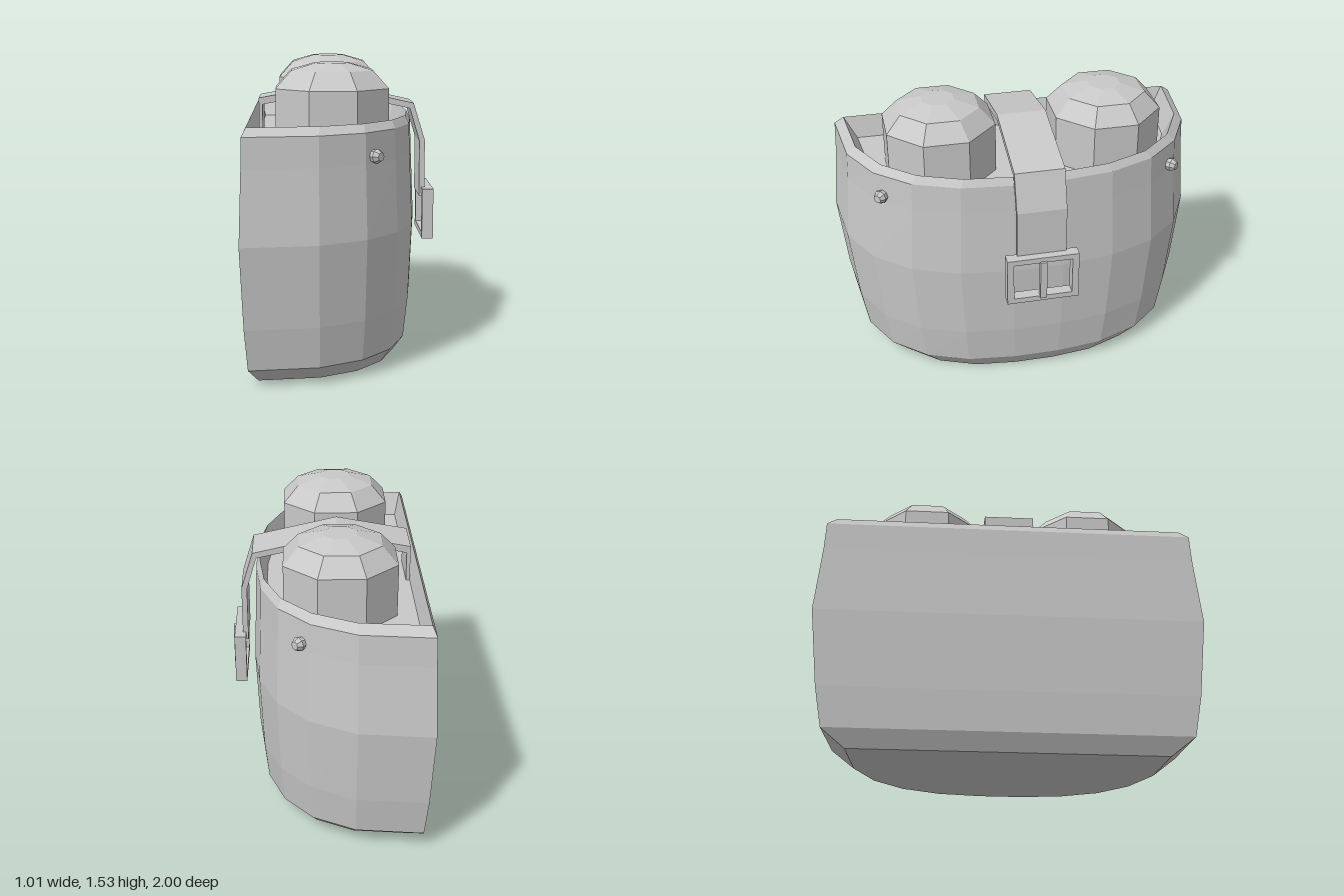
import * as THREE from 'three';

const grey = new THREE.MeshStandardMaterial({ color: 0xc8c8c8, flatShading: true });
grey.name = 'plain grey';

function add(parent, name, geometry, x = 0, y = 0, z = 0) {
  const mesh = new THREE.Mesh(geometry, grey);
  mesh.name = name;
  mesh.position.set(x, y, z);
  parent.add(mesh);
  return mesh;
}

// Half-round plan outline: x as a fraction from back to front, z as a fraction of half width
const half = [[0, 1], [0.42, 0.96], [0.68, 0.84], [0.86, 0.655], [0.965, 0.41], [1, 0.135]];
const outline = [...half, ...half.slice().reverse().map(([x, z]) => [x, -z])];

// Levels going up the outside, over the rim and down the inside: y, back x, front x, half width
const levels = [
  [0, -0.43, 0.29, 0.8],
  [0.09, -0.475, 0.345, 0.92],
  [0.3, -0.49, 0.367, 0.957],
  [0.71, -0.505, 0.385, 1],
  [1.07, -0.493, 0.37, 0.967],
  [1.22, -0.49, 0.365, 0.96],
  [1.26, -0.47, 0.345, 0.91],
  [1.14, -0.44, 0.31, 0.845],
];

function bodyGeometry() {
  const n = outline.length;
  const points = [];
  const index = [];
  for (const [y, back, front, width] of levels) {
    for (const [fx, fz] of outline) points.push(back + fx * (front - back), y, fz * width);
  }
  for (let l = 0; l < levels.length - 1; l++) {
    for (let i = 0; i < n; i++) {
      const a = l * n + i;
      const b = l * n + (i + 1) % n;
      index.push(a, b, b + n, a, b + n, a + n);
    }
  }
  // Underside and inner floor
  const top = (levels.length - 1) * n;
  for (let i = 1; i < n - 1; i++) {
    index.push(0, i + 1, i);
    index.push(top, top + i, top + i + 1);
  }
  const geometry = new THREE.BufferGeometry();
  geometry.setAttribute('position', new THREE.Float32BufferAttribute(points, 3));
  geometry.setIndex(index);
  const flat = geometry.toNonIndexed();
  flat.computeVertexNormals();
  return flat;
}

// Extrudes a side outline in x and y to a width along z
function strapGeometry(points, width) {
  const shape = new THREE.Shape(points.map(([x, y]) => new THREE.Vector2(x, y)));
  const geometry = new THREE.ExtrudeGeometry(shape, { depth: width, bevelEnabled: false });
  return geometry.translate(0, 0, -width / 2);
}

function buckleFrameGeometry() {
  const rectangle = (path, w, h) => path.moveTo(-w, -h).lineTo(w, -h).lineTo(w, h).lineTo(-w, h).closePath();
  const shape = rectangle(new THREE.Shape(), 0.19, 0.135);
  shape.holes.push(rectangle(new THREE.Path(), 0.155, 0.105));
  return new THREE.ExtrudeGeometry(shape, { depth: 0.06, bevelEnabled: false }).rotateY(Math.PI / 2);
}

export function createModel() {
  const model = new THREE.Group();
  model.name = 'pouch';
  add(model, 'pouchBody', bodyGeometry());

  // Two eight-sided canisters with domed caps
  const k = 1 / Math.cos(Math.PI / 8);
  const profile = [[0, 1.13], [0.28, 1.13], [0.28, 1.41], [0.203, 1.497], [0.082, 1.533], [0, 1.533]]
    .map(([r, y]) => new THREE.Vector2(r * k, y));
  const canister = new THREE.LatheGeometry(profile, 8, Math.PI / 8);

  // Small studs on the curved shell
  const studProfile = [[0, -0.03], [0.026, -0.03], [0.037, 0.015], [0.022, 0.04], [0, 0.04]]
    .map(([r, y]) => new THREE.Vector2(r, y));
  const stud = new THREE.LatheGeometry(studProfile, 8);
  const up = new THREE.Vector3(0, 1, 0);

  for (const side of [1, -1]) {
    const name = side > 0 ? 'left' : 'right';
    add(model, name + 'Canister', canister, -0.06, 0, side * 0.44);
    const rivet = add(model, name + 'Stud', stud, 0.138, 1.105, side * 0.772);
    rivet.quaternion.setFromUnitVectors(up, new THREE.Vector3(0.72, 0, side * 0.69).normalize());
  }

  // Strap from inside the back wall, over the top and down the front
  add(model, 'strap', strapGeometry([
    [-0.44, 1.14], [-0.42, 1.14], [-0.42, 1.295], [-0.06, 1.365], [0.365, 1.272],
    [0.418, 1.095], [0.418, 0.8], [0.447, 0.8], [0.447, 1.1], [0.385, 1.3],
    [-0.06, 1.4], [-0.44, 1.33],
  ], 0.26));

  // Buckle with its upright prong
  const buckle = new THREE.Group();
  buckle.name = 'buckle';
  buckle.position.set(0.43, 0.71, 0);
  model.add(buckle);
  add(buckle, 'buckleFrame', buckleFrameGeometry());
  add(buckle, 'bucklePin', new THREE.BoxGeometry(0.035, 0.225, 0.035), 0.0555, 0, 0);
  return model;
}
